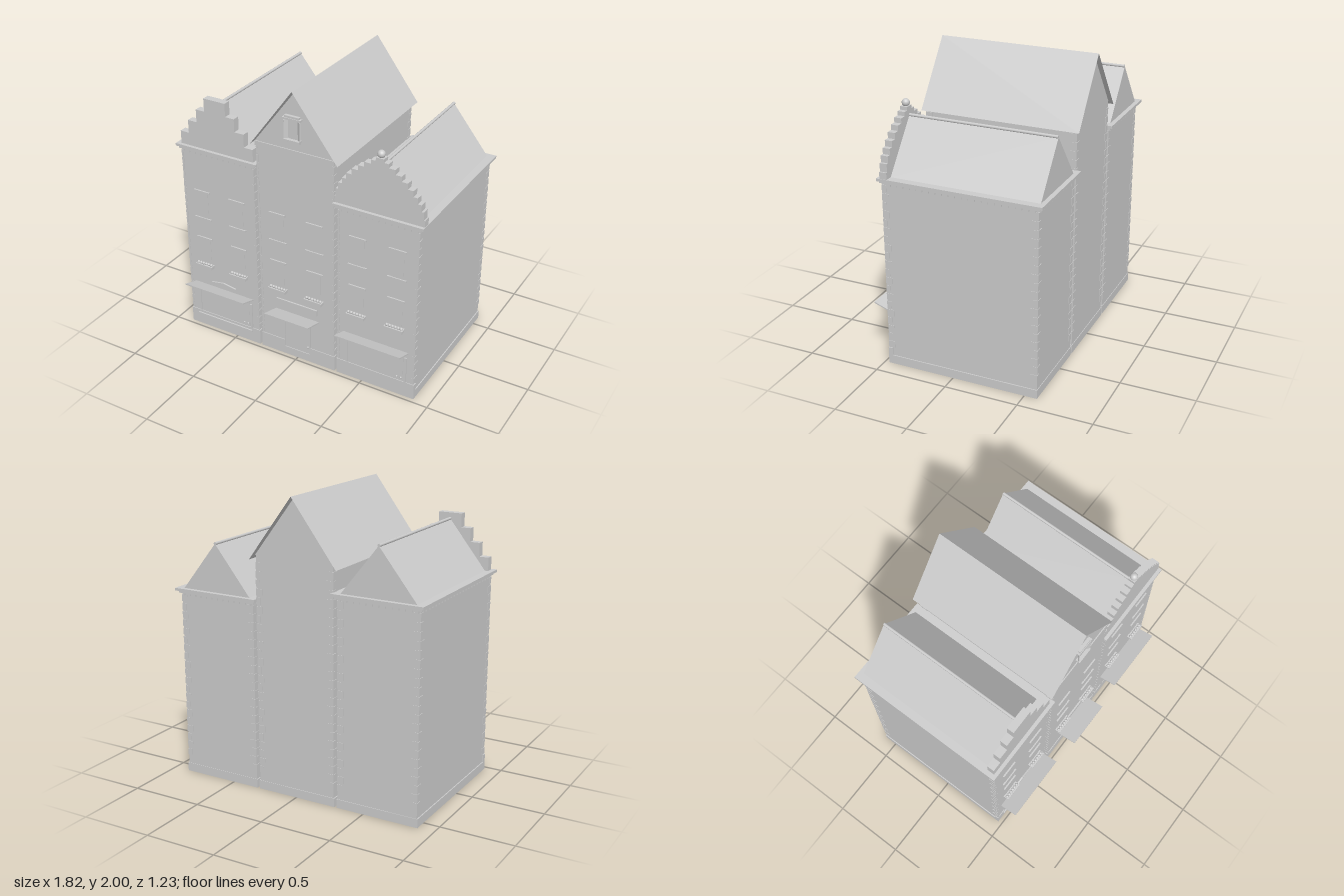
import * as THREE from 'three';

const stone = new THREE.MeshStandardMaterial({ color: 0xcccccc, side: THREE.DoubleSide });
stone.name = 'pale grey stone';

const FRONT = 0.465, BACK = -0.583;

function add(parent, name, geometry, x = 0, y = 0, z = 0) {
  const mesh = new THREE.Mesh(geometry, stone);
  mesh.name = name;
  mesh.position.set(x, y, z);
  parent.add(mesh);
  return mesh;
}

// Box given by its limits along each axis
function block(parent, name, x0, x1, y0, y1, z0, z1) {
  return add(parent, name, new THREE.BoxGeometry(x1 - x0, y1 - y0, z1 - z0),
    (x0 + x1) / 2, (y0 + y1) / 2, (z0 + z1) / 2);
}

// Outline in x and y, extruded from z0 to z1
function prism(parent, name, points, z0, z1) {
  const shape = new THREE.Shape(points.map(p => new THREE.Vector2(p[0], p[1])));
  return add(parent, name, new THREE.ExtrudeGeometry(shape, { depth: z1 - z0, bevelEnabled: false }), 0, 0, z0);
}

// Stepped gable: rows of [half width, top height], from the bottom up
function steppedGable(parent, bottom, rows) {
  const right = [];
  let y = bottom;
  for (const [w, top] of rows) {
    right.push([w, y], [w, top]);
    y = top;
  }
  const left = right.map(([x, h]) => [-x, h]).reverse();
  prism(parent, 'steppedGable', [...right, ...left], 0.415, FRONT);
}

// Corner stones of alternating length, running up every corner
function quoins(parent, half, top) {
  const t = 0.003;
  for (const sx of [-1, 1]) for (const z of [FRONT, BACK]) {
    const sz = Math.sign(z);
    for (let i = 0, y = 0.12; y < top - 0.04; i++, y += 0.058) {
      const long = i % 2 ? 0.045 : 0.028;
      const xs = [sx * (half + t), sx * (half - long)].sort((a, b) => a - b);
      const zs = [z + sz * t, z - sz * (0.073 - long)].sort((a, b) => a - b);
      if (sz > 0) { // front corners show only a slim edge
        xs[sx > 0 ? 0 : 1] = sx * (half - 0.012);
      }
      block(parent, 'quoin', xs[0], xs[1], y, y + 0.045, zs[0], zs[1]);
    }
  }
}

function flowerBox(parent, x) {
  block(parent, 'flowerBox', x - 0.063, x + 0.063, 0.508, 0.532, FRONT, 0.5);
  block(parent, 'flowerBoxRim', x - 0.067, x + 0.067, 0.528, 0.534, FRONT, 0.504);
  for (let i = 0; i < 6; i++) {
    add(parent, 'flower', new THREE.SphereGeometry(0.011, 8, 6), x - 0.053 + i * 0.021, 0.54, 0.486);
  }
}

function windows(parent) {
  for (const x of [-0.14, 0.14]) {
    for (const [sill, lintel] of [[0.89, 1.095], [0.525, 0.73]]) {
      block(parent, 'windowPane', x - 0.045, x + 0.045, sill, lintel, FRONT - 0.002, FRONT + 0.002);
      block(parent, 'lintel', x - 0.062, x + 0.062, lintel, lintel + 0.013, FRONT, 0.475);
      if (sill > 0.6) block(parent, 'sill', x - 0.068, x + 0.068, sill, sill + 0.01, FRONT, 0.475);
    }
    flowerBox(parent, x);
  }
}

// Canopy that tilts up away from the wall
function awning(parent, half, reach) {
  const geometry = new THREE.BufferGeometry();
  const z0 = FRONT, z1 = reach, t = 0.009;
  const section = [[z0, 0.345], [z1, 0.39], [z1, 0.39 + t], [z0, 0.345 + t]];
  const shape = new THREE.Shape(section.map(p => new THREE.Vector2(-p[0], p[1])));
  geometry.copy(new THREE.ExtrudeGeometry(shape, { depth: half * 2, bevelEnabled: false }));
  geometry.rotateY(Math.PI / 2);
  add(parent, 'awning', geometry, -half, 0, 0);
}

function knob(parent, x, y) {
  add(parent, 'doorKnob', new THREE.SphereGeometry(0.007, 10, 8), x, y, FRONT + 0.009);
}

function shopFront(parent) {
  block(parent, 'shopPanel', -0.205, 0.205, 0.115, 0.345, FRONT - 0.003, FRONT + 0.002);
  block(parent, 'shopPost', -0.212, -0.204, 0.115, 0.345, FRONT, 0.473);
  block(parent, 'shopPost', 0.215, 0.23, 0.115, 0.31, FRONT, 0.473);
  block(parent, 'shopHeader', -0.212, 0.212, 0.336, 0.345, FRONT, 0.473);
  awning(parent, 0.24, 0.592);
  knob(parent, 0.165, 0.145);
  knob(parent, 0.195, 0.145);
}

function cornice(parent, y) {
  block(parent, 'corniceLower', -0.298, 0.298, y - 0.034, y - 0.018, -0.6, 0.478);
  block(parent, 'corniceUpper', -0.315, 0.315, y - 0.018, y, -0.618, 0.488);
  // Dentils on all four sides
  for (let x = -0.265; x < 0.27; x += 0.0441) {
    block(parent, 'dentil', x - 0.007, x + 0.007, y - 0.05, y - 0.034, FRONT, 0.474);
    block(parent, 'dentil', x - 0.007, x + 0.007, y - 0.05, y - 0.034, -0.594, BACK);
  }
  for (let z = -0.56; z < 0.45; z += 0.0441) {
    for (const s of [-1, 1]) {
      block(parent, 'dentil', s * 0.287 - 0.006, s * 0.287 + 0.006, y - 0.05, y - 0.034, z - 0.007, z + 0.007);
    }
  }
}

function house(name, x, wallTop) {
  const group = new THREE.Group();
  group.name = name;
  group.position.x = x;
  block(group, 'walls', -0.283, 0.283, 0, wallTop, BACK, FRONT);
  block(group, 'plinth', -0.29, 0.29, 0, 0.06, BACK - 0.004, 0.47);
  quoins(group, 0.283, wallTop);
  for (const s of [-1, 1]) {
    block(group, 'frontPilaster', s * 0.278 - 0.005, s * 0.278 + 0.005, 0.115, wallTop - 0.035, FRONT, FRONT + 0.003);
  }
  windows(group);
  return group;
}

function sideHouse(name, x, eaves, gableRows) {
  const group = house(name, x, eaves - 0.02);
  block(group, 'frontPlinth', -0.29, 0.29, 0, 0.113, 0.44, 0.47);
  cornice(group, eaves);
  prism(group, 'roof', [[-0.26, eaves], [0.26, eaves], [0, eaves + 0.325]], -0.587, 0.415);
  const cap = add(group, 'ridgeCap', new THREE.CylinderGeometry(0.01, 0.01, 1, 10), 0, eaves + 0.326, -0.086);
  cap.rotation.x = Math.PI / 2;
  steppedGable(group, eaves, gableRows);
  shopFront(group);
  return group;
}

export function createModel() {
  const model = new THREE.Group();
  model.name = 'townHouses';

  // House with the square stepped gable
  const right = sideHouse('steppedHouse', -0.597, 1.43,
    [[0.283, 1.52], [0.217, 1.612], [0.148, 1.703], [0.082, 1.795]]);
  block(right, 'shopSill', -0.228, 0.228, 0.083, 0.095, 0.46, 0.48);
  prism(right, 'awningPediment', [[-0.1, 0.395], [0.1, 0.395], [0, 0.412]], FRONT, 0.476);
  model.add(right);

  // House with the rounded stepped gable and ball
  const left = sideHouse('roundedHouse', 0.597, 1.315,
    [[0.312, 1.36], [0.302, 1.415], [0.285, 1.46], [0.258, 1.5], [0.228, 1.54],
      [0.19, 1.58], [0.148, 1.615], [0.105, 1.648], [0.06, 1.675], [0.028, 1.698]]);
  add(left, 'gableBall', new THREE.SphereGeometry(0.026, 16, 12), -0.003, 1.717, 0.44);
  model.add(left);

  // Tall middle house
  const middle = house('middleHouse', 0, 1.6);
  prism(middle, 'gableWall', [[-0.29, 1.6], [0.29, 1.6], [0, 1.98]], BACK, 0.468);
  block(middle, 'gableBand', -0.29, 0.29, 1.567, 1.6, 0.44, 0.475);
  for (const s of [-1, 1]) {
    block(middle, 'frontPlinth', Math.min(s * 0.1, s * 0.29), Math.max(s * 0.1, s * 0.29), 0, 0.113, 0.44, 0.47);
    const slope = new THREE.PlaneGeometry(Math.hypot(0.318, 0.425), 1.095);
    slope.rotateX(-Math.PI / 2);
    const roof = add(middle, 'roofSlope', slope, s * 0.159, 1.786, -0.0625);
    roof.rotation.z = -s * Math.atan2(0.425, 0.318);
  }

  // Attic window with shutters
  block(middle, 'atticPane', -0.035, 0.035, 1.675, 1.815, FRONT, 0.476);
  block(middle, 'atticLintel', -0.068, 0.064, 1.812, 1.825, FRONT, 0.495);
  block(middle, 'atticCrown', -0.055, 0.051, 1.825, 1.838, FRONT, 0.49);
  block(middle, 'atticSill', -0.06, 0.056, 1.668, 1.68, FRONT, 0.5);
  for (const s of [-1, 1]) {
    const shutter = block(middle, 'atticShutter', s * 0.048 - 0.014, s * 0.048 + 0.014, 1.682, 1.808, 0.48, 0.486);
    shutter.rotation.y = s * -0.6;
    block(middle, 'atticBracket', s * 0.045 - 0.006, s * 0.045 + 0.006, 1.655, 1.668, FRONT, 0.485);
  }

  // Entrance with sign
  block(middle, 'door', -0.1, 0.1, 0.065, 0.345, FRONT - 0.002, FRONT + 0.004);
  for (const s of [-1, 1]) {
    block(middle, 'doorPost', s * 0.1 - 0.004, s * 0.1 + 0.004, 0.065, 0.345, FRONT, 0.475);
  }
  knob(middle, 0.085, 0.12);
  block(middle, 'signBoard', -0.158, 0.156, 0.4, 0.446, FRONT, 0.476);
  awning(middle, 0.17, 0.615);
  model.add(middle);

  return model;
}
